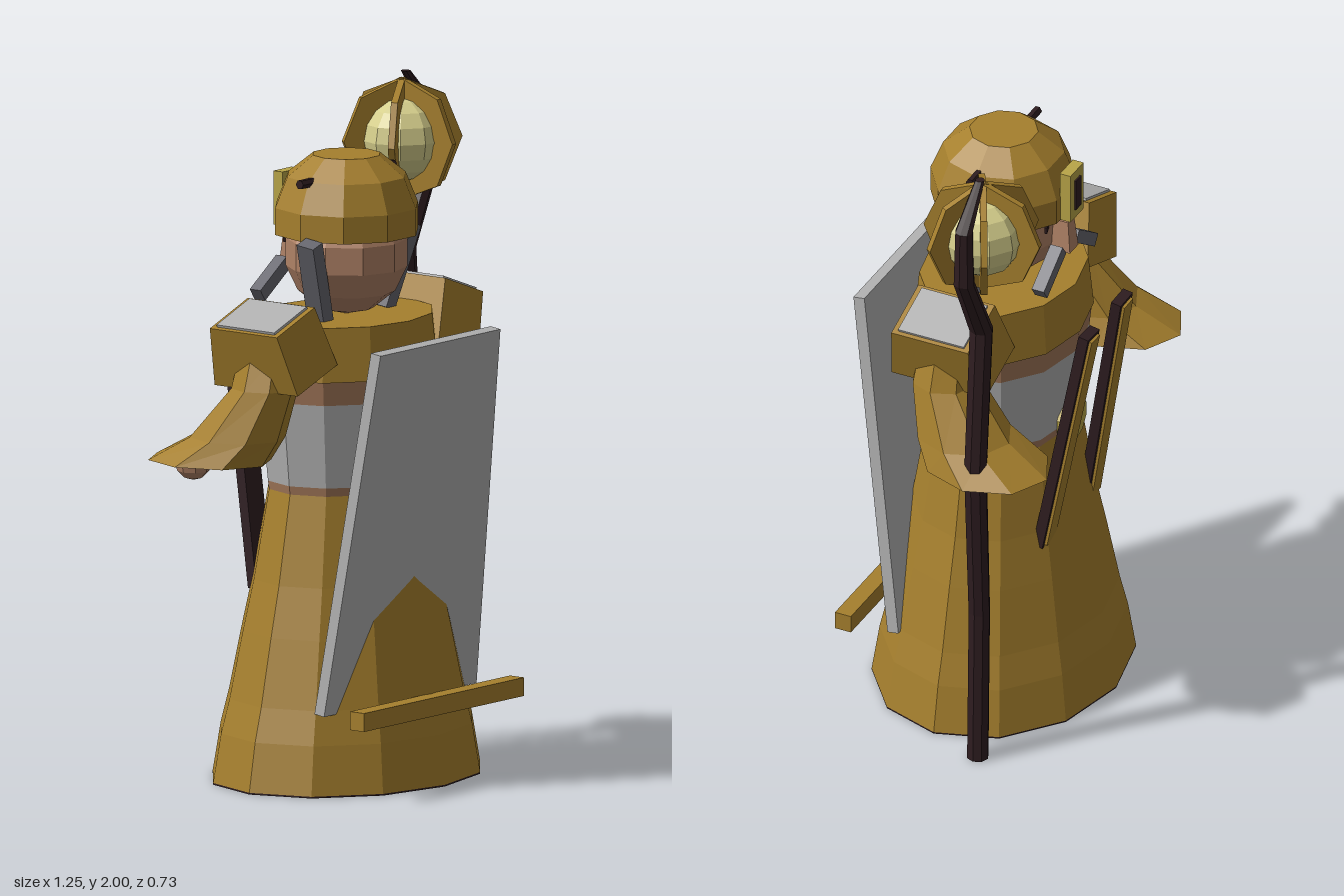
import * as THREE from 'three';

const mat = (name, color, side = THREE.FrontSide) => {
  const m = new THREE.MeshStandardMaterial({ color, flatShading: true, side });
  m.name = name;
  return m;
};

// Closed loft through horizontal rings given as [y, centreX, centreZ, radiusX, radiusZ], lowest first
function loft(rings, sides) {
  const pos = [], idx = [];
  for (const [y, cx, cz, rx, rz] of rings)
    for (let i = 0; i < sides; i++) {
      const a = (i / sides) * Math.PI * 2;
      pos.push(cx + Math.sin(a) * rx, y, cz + Math.cos(a) * rz);
    }
  for (let r = 0; r < rings.length - 1; r++)
    for (let i = 0; i < sides; i++) {
      const a = r * sides + i, b = r * sides + (i + 1) % sides;
      idx.push(a, b, b + sides, a, b + sides, a + sides);
    }
  const top = (rings.length - 1) * sides;
  for (let i = 1; i < sides - 1; i++) {
    idx.push(0, i + 1, i);
    idx.push(top, top + i, top + i + 1);
  }
  const g = new THREE.BufferGeometry();
  g.setAttribute('position', new THREE.Float32BufferAttribute(pos, 3));
  g.setIndex(idx);
  g.computeVertexNormals();
  return g;
}

// Box whose lower corners are spread outwards
function taperedBox(w, h, d, sx, sz) {
  const g = new THREE.BoxGeometry(w, h, d), p = g.attributes.position;
  for (let i = 0; i < p.count; i++)
    if (p.getY(i) < 0) p.setXYZ(i, p.getX(i) * sx, p.getY(i), p.getZ(i) * sz);
  g.computeVertexNormals();
  return g;
}

export function createModel() {
  const gold = mat('gold cloth', 0xa57f2d);
  const silver = mat('silver', 0xb0b0b0);
  const skin = mat('skin', 0xb08266);
  const trim = mat('tan trim', 0xa07658);
  const slate = mat('slate grey', 0x66666e);
  const dark = mat('dark wood', 0x2e1d20);
  const yellow = mat('yellow brass', 0xb9a548);
  const glow = mat('pale glow', 0xd6cf8c);

  const model = new THREE.Group();
  const body = new THREE.Group();
  body.name = 'figure';
  body.position.x = -0.02;
  model.add(body);
  const add = (name, geo, material, x = 0, y = 0, z = 0, parent = body) => {
    const m = new THREE.Mesh(geo, material);
    m.name = name;
    m.position.set(x, y, z);
    parent.add(m);
    return m;
  };
  const box = (w, h, d) => new THREE.BoxGeometry(w, h, d);

  // Oval twelve-sided robe and torso, one lathe for each colour band
  const band = (name, material, points) => {
    const g = new THREE.LatheGeometry(points.map(([r, y]) => new THREE.Vector2(r, y)), 12);
    add(name, g, material).scale.x = 1.25;
  };
  band('robe', gold, [[0.367, 0.005], [0.345, 0.15], [0.322, 0.25], [0.285, 0.45], [0.255, 0.6], [0.213, 0.865]]);
  band('robeUnderside', dark, [[0, 0], [0.367, 0], [0.367, 0.005]]);
  band('waistTrim', trim, [[0.213, 0.865], [0.216, 0.89]]);
  band('chest', silver, [[0.216, 0.89], [0.238, 1.14]]);
  band('chestTrim', trim, [[0.238, 1.14], [0.245, 1.21]]);
  band('collar', gold, [[0.23, 1.21], [0.25, 1.21], [0.235, 1.37], [0, 1.37]]);

  // Leaning plate on the +z side with its crossbar
  const plate = new THREE.Shape();
  plate.moveTo(-0.36, -0.545);
  plate.lineTo(0.36, -0.545);
  plate.lineTo(0.283, 0.545);
  plate.lineTo(-0.283, 0.545);
  const plateGeo = new THREE.ExtrudeGeometry(plate, { depth: 0.036, bevelEnabled: false }).translate(0, 0, -0.018);
  add('leaningPlate', plateGeo, silver, 0, 0.781, 0.258).rotation.x = 0.138;
  add('crossbar', box(0.755, 0.055, 0.052), gold, 0, 0.243, 0.338);

  // Head, nose and cap
  add('head', new THREE.SphereGeometry(0.183, 10, 7, Math.PI / 10), skin, 0, 1.55, 0);
  add('nose', taperedBox(0.04, 0.1, 0.05, 1.4, 1.4), skin, 0, 1.54, -0.195);
  const cap = [[0.185, 1.61], [0.217, 1.61], [0.217, 1.69], [0.18, 1.78], [0.102, 1.842], [0, 1.842]]
    .map(([r, y]) => new THREE.Vector2(r, y));
  add('cap', new THREE.LatheGeometry(cap, 10, Math.PI / 10), gold);

  // Badge on the cap
  add('badge', box(0.085, 0.16, 0.035), yellow, 0, 1.69, -0.222);
  add('badgeWindow', box(0.035, 0.1, 0.008), dark, 0, 1.69, -0.241);
  add('buckle', new THREE.CylinderGeometry(0.07, 0.07, 0.03, 10).rotateX(Math.PI / 2), yellow, 0, 0.9, -0.222);

  // Mirrored parts
  for (const s of [-1, 1]) {
    add('ear', new THREE.SphereGeometry(0.04, 6, 4), skin, s * 0.175, 1.56, 0).scale.x = 0.5;
    add('eye', box(0.03, 0.02, 0.008), dark, s * 0.06, 1.58, -0.17).rotation.y = s * 0.3;
    add('capRod', new THREE.CylinderGeometry(0.014, 0.014, 0.075, 6).rotateZ(Math.PI / 2), dark, s * 0.184, 1.78, 0);
    add('moustache', box(0.15, 0.04, 0.04), slate, s * 0.105, 1.465, -0.2).rotation.z = -s * 0.6;
    add('collarStay', box(0.045, 0.26, 0.062), slate, s * 0.19, 1.49, 0.033).rotation.set(0.12, 0, -s * 0.35);

    // Shoulder pad with a silver top
    const pad = new THREE.Group();
    pad.name = 'shoulderPad';
    pad.position.set(s * 0.365, 1.32, 0);
    pad.rotation.z = -s * 0.35;
    body.add(pad);
    add('padBody', taperedBox(0.19, 0.19, 0.25, 1.05, 1.24), gold, 0, 0, 0, pad);
    add('padTop', box(0.165, 0.009, 0.215), silver, 0, 0.098, 0, pad);

    // Flared sleeve reaching towards -z, and the hand
    add('sleeve', loft([
      [0.975, s * 0.437, -0.165, 0.165, 0.195],
      [1.05, s * 0.415, -0.078, 0.135, 0.147],
      [1.2, s * 0.385, 0, 0.098, 0.1],
      [1.3, s * 0.36, 0, 0.09, 0.09],
    ], 8), gold);
    add('hand', new THREE.SphereGeometry(0.055, 8, 6), skin, s * 0.444, 0.965, -0.22);

    // Hanging strap: dark back, gold face
    const strap = new THREE.Group();
    strap.name = 'strap';
    strap.position.set(s * 0.128, 0.92, -0.268);
    strap.rotation.set(-0.174, 0, s * 0.055);
    body.add(strap);
    add('strapBack', box(0.078, 0.75, 0.032), dark, 0, 0, 0, strap);
    add('strapFace', box(0.056, 0.73, 0.009), gold, 0, 0, -0.02, strap);
  }

  // Crooked staff
  const staffZ = -0.17;
  const staff = [[0, 0.49, 0.033], [0.5, 0.48, 0.033], [1.0, 0.505, 0.035], [1.475, 0.467, 0.036],
    [1.7, 0.58, 0.032], [1.88, 0.58, 0.027], [2, 0.475, 0.014]];
  add('staff', loft(staff.map(([y, x, r]) => [y, x, staffZ, r, r]), 8), dark, 0, 0, 0, model);

  // Lantern: glowing globe inside three octagonal hoops
  const lantern = new THREE.Group();
  lantern.name = 'lantern';
  lantern.position.set(0.458, 1.8, staffZ);
  model.add(lantern);
  add('globe', new THREE.SphereGeometry(0.124, 10, 8), glow, 0, 0, 0, lantern);
  const octagon = r => Array.from({ length: 8 }, (_, i) =>
    new THREE.Vector2(Math.cos(i * Math.PI / 4) * r, Math.sin(i * Math.PI / 4) * r));
  const hoop = new THREE.Shape(octagon(0.182));
  hoop.holes.push(new THREE.Path(octagon(0.12)));
  const hoopGeo = new THREE.ExtrudeGeometry(hoop, { depth: 0.02, bevelEnabled: false }).translate(0, 0, -0.01);
  for (const turn of [0.49, -0.6, 1.66]) add('hoop', hoopGeo, gold, 0, 0, 0, lantern).rotation.y = turn;

  return model;
}
